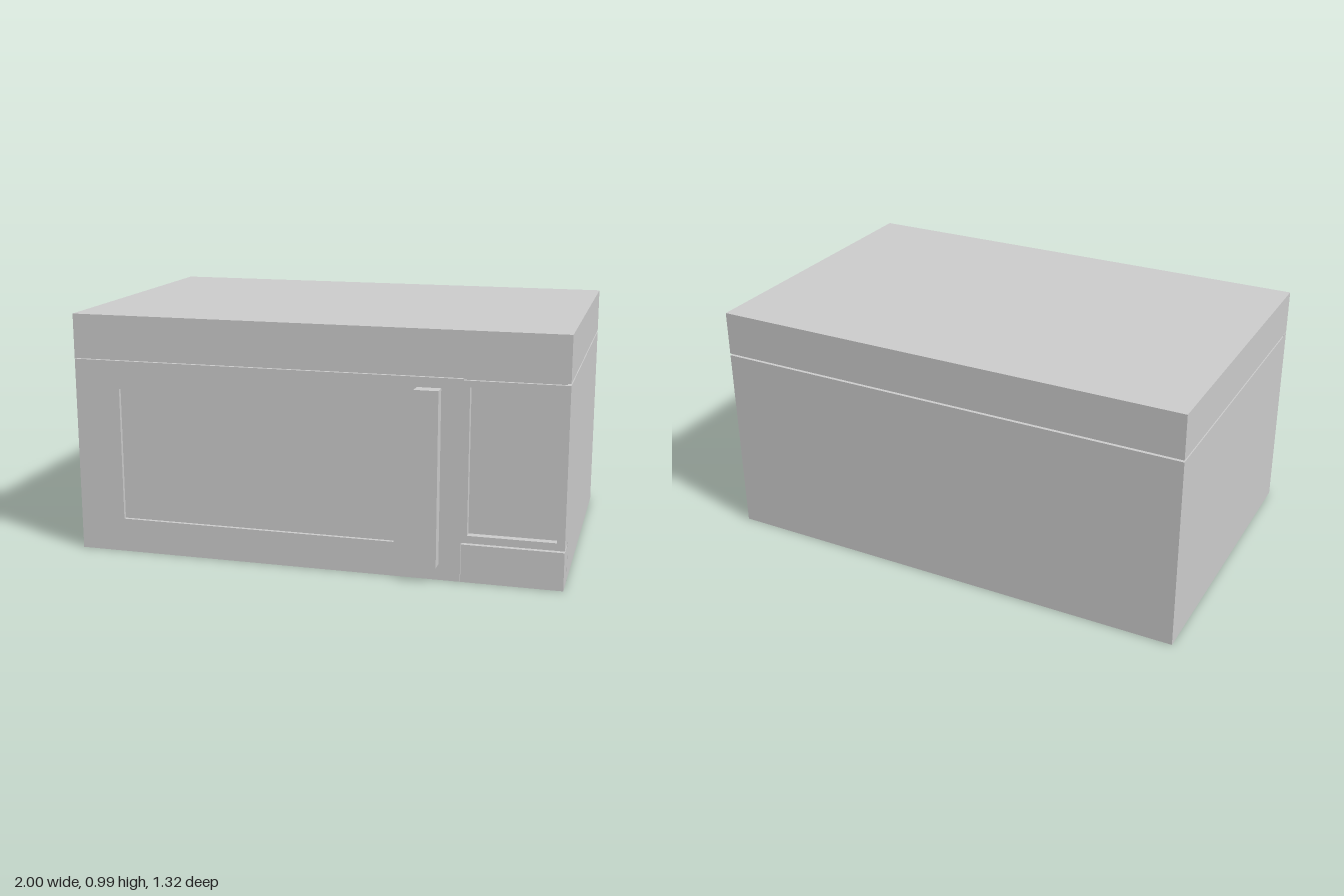
import * as THREE from 'three';

export function createModel() {
  const model = new THREE.Group();
  const material = new THREE.MeshStandardMaterial({ color: 0xcccccc, flatShading: true });

  const add = (name, geometry) => {
    const mesh = new THREE.Mesh(geometry, material);
    mesh.name = name;
    model.add(mesh);
    return mesh;
  };
  // Box given by its minimum and maximum along each axis
  const box = (name, [x0, x1], [y0, y1], [z0, z1]) =>
    add(name, new THREE.BoxGeometry(x1 - x0, y1 - y0, z1 - z0))
      .position.set((x0 + x1) / 2, (y0 + y1) / 2, (z0 + z1) / 2);
  const rectangle = (x0, x1, y0, y1) => new THREE.Path([
    new THREE.Vector2(x0, y0), new THREE.Vector2(x0, y1),
    new THREE.Vector2(x1, y1), new THREE.Vector2(x1, y0),
  ]);

  const front = 0.605, back = -0.66, split = 0.483;
  const windowRect = [-0.81, 0.335, 0.14, 0.69];
  const panelRect = [0.625, 0.97, 0.19, 0.775];

  // Oven cabinet and the upper vent housing, parted by a shadow gap
  box('cabinet', [-1, 1], [0, 0.8], [back, split]);
  box('ventHousing', [-1, 1], [0.808, 0.99], [back, front]);
  box('gapCore', [-0.985, 0.985], [0.79, 0.82], [back + 0.015, front - 0.015]);
  box('doorTopLip', [-1, 0.6], [0.8, 0.805], [0.57, front]);

  // Front frame with window and control openings and a cut-out lower corner
  const outline = new THREE.Shape([
    [-1, 0], [0.6, 0], [0.6, 0.16], [1, 0.16], [1, 0.8], [-1, 0.8],
  ].map(([x, y]) => new THREE.Vector2(x, y)));
  outline.holes.push(rectangle(...windowRect), rectangle(...panelRect));
  const frame = new THREE.ExtrudeGeometry(outline, { depth: front - split, bevelEnabled: false });
  frame.translate(0, 0, split);
  add('frontFrame', frame);

  // Recessed panels filling the openings
  const inset = (name, [x0, x1, y0, y1], depth) =>
    box(name, [x0, x1], [y0, y1], [split, front - depth]);
  inset('doorWindow', windowRect, 0.015);
  inset('controlPanel', panelRect, 0.032);

  // Release button in the lower corner, with a narrow gap around it
  box('releaseButton', [0.602, 1], [0, 0.153], [0.49, front]);

  // Vertical door handle
  box('doorHandle', [0.42, 0.515], [0.065, 0.765], [front - 0.005, 0.66]);

  return model;
}
